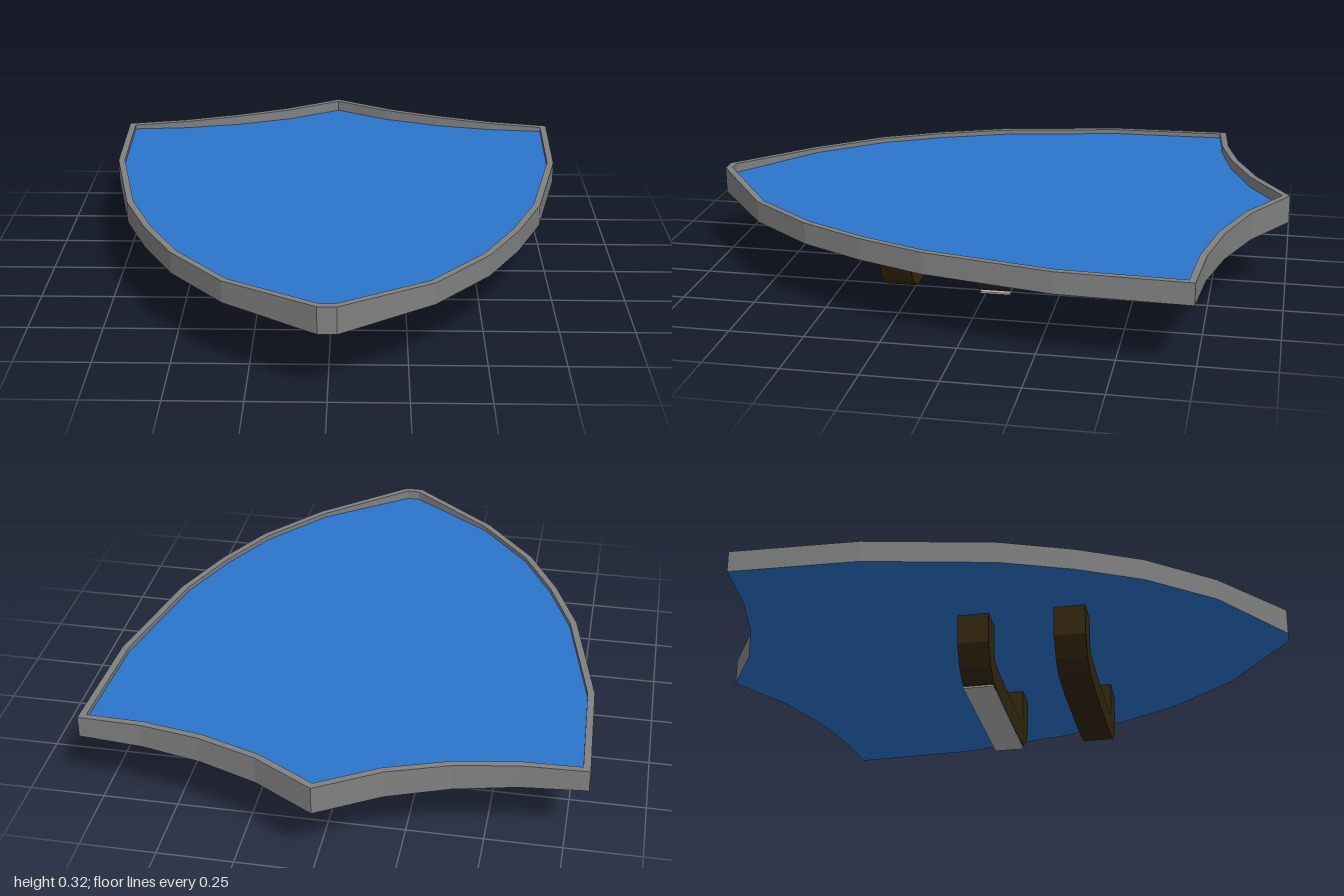
import * as THREE from 'three';

const paint = (name, color) => {
  const m = new THREE.MeshStandardMaterial({ color, flatShading: true });
  m.name = name;
  return m;
};

// Right half of the outline, back tip to front tip: x, z, rim height
const HALF = [
  [0, -1, 0.32], [0.2, -0.88, 0.319], [0.4, -0.805, 0.315], [0.6, -0.76, 0.307],
  [0.815, -0.74, 0.298], [0.8, -0.31, 0.298], [0.71, 0.12, 0.298], [0.62, 0.35, 0.298],
  [0.51, 0.56, 0.298], [0.33, 0.78, 0.298], [0.03, 1, 0.315],
];
const BOTTOM = 0.225, FACE = 0.282, RIM = 0.023;

// Moves each corner of a closed outline inward by d along its mitre
function inset(points, d) {
  const n = points.length;
  return points.map((p, i) => {
    const a = points[(i + n - 1) % n], b = points[(i + 1) % n];
    const normal = (s, e) => new THREE.Vector2(s[1] - e[1], e[0] - s[0]).normalize();
    const n1 = normal(a, p), n2 = normal(p, b);
    const k = d / (1 + n1.dot(n2));
    return [p[0] + (n1.x + n2.x) * k, p[1] + (n1.y + n2.y) * k, p[2]];
  });
}

// Flat sheet through an outline, facing up or down
function sheet(points, y, up) {
  const shape = new THREE.Shape(points.map(([x, z]) => new THREE.Vector2(x, up ? -z : z)));
  return new THREE.ShapeGeometry(shape).rotateX(up ? -Math.PI / 2 : Math.PI / 2).translate(0, y, 0);
}

// Rim: outer wall, top edge and inner wall swept round the outline
function rimGeometry(outer, inner) {
  const rings = [
    outer.map(([x, z]) => [x, BOTTOM, z]),
    outer.map(([x, z, h]) => [x, h, z]),
    inner.map(([x, z, h]) => [x, h, z]),
    inner.map(([x, z]) => [x, FACE - 0.01, z]),
  ];
  const pos = [];
  for (let r = 0; r < rings.length - 1; r++) {
    for (let i = 0; i < outer.length; i++) {
      const j = (i + 1) % outer.length;
      const a = rings[r][i], b = rings[r][j], c = rings[r + 1][j], d = rings[r + 1][i];
      pos.push(...a, ...c, ...b, ...a, ...d, ...c);
    }
  }
  const g = new THREE.BufferGeometry();
  g.setAttribute('position', new THREE.Float32BufferAttribute(pos, 3));
  g.computeVertexNormals();
  return g;
}

// Bent strap grip, profile in x and y, extruded along z
function gripGeometry(depth) {
  const outside = [[0.375, 0.228], [0.375, 0.12], [0.335, 0.05], [0.285, 0.015], [0.15, 0.003]];
  const inside = [[0.13, 0.09], [0.255, 0.1], [0.268, 0.125], [0.268, 0.228]];
  const flip = (list) => list.map(([x, y]) => [-x, y]).reverse();
  const loop = [...outside, ...flip(outside), ...flip(inside), ...inside];
  const shape = new THREE.Shape(loop.map(([x, y]) => new THREE.Vector2(x, y)));
  return new THREE.ExtrudeGeometry(shape, { depth, bevelEnabled: false }).translate(0, 0, -depth / 2);
}

export function createModel() {
  const blue = paint('blue', 0x2c74cc);
  const steel = paint('steel grey', 0x808080);
  const pale = paint('pale grey', 0xb0b0b0);
  const leather = paint('dark leather', 0x33260f);

  const model = new THREE.Group();
  model.name = 'shield';
  const add = (name, geometry, material, parent = model) => {
    const mesh = new THREE.Mesh(geometry, material);
    mesh.name = name;
    parent.add(mesh);
    return mesh;
  };

  // Mirrored outline, with the back tip shared
  const outer = [...HALF, ...HALF.slice(1).reverse().map(([x, z, h]) => [-x, z, h])];
  const inner = inset(outer, RIM);

  add('rim', rimGeometry(outer, inner), steel);
  add('face', sheet(inner, FACE, true), blue);
  add('backing', sheet(outer, BOTTOM, false), blue);

  // Two grips across the backing
  const grips = new THREE.Group();
  grips.name = 'grips';
  model.add(grips);
  add('armGrip', gripGeometry(0.106), leather, grips).position.z = 0.293;
  add('handGrip', gripGeometry(0.106), leather, grips).position.z = -0.033;

  // Thin plate under the hand grip
  add('gripPlate', new THREE.BoxGeometry(0.56, 0.006, 0.104), pale, grips).position.set(0, 0.003, -0.033);

  return model;
}
